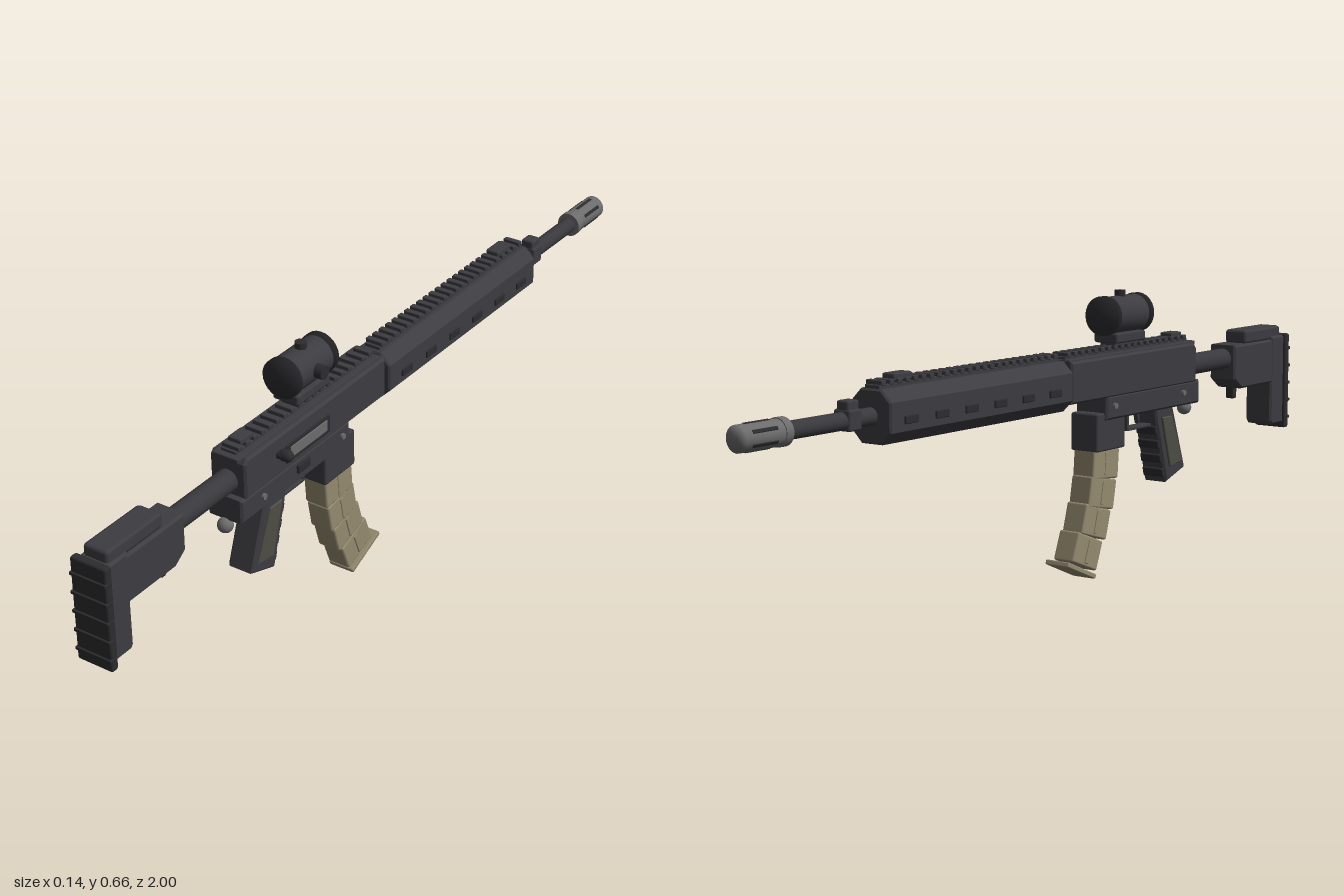
import * as THREE from 'three';
import { RoundedBoxGeometry } from 'three/addons/geometries/RoundedBoxGeometry.js';
import { mergeVertices } from 'three/addons/utils/BufferGeometryUtils.js';

const material = (name, color) => {
  const m = new THREE.MeshStandardMaterial({ color });
  m.name = name;
  return m;
};

export function createModel() {
  const body = material('charcoal polymer', 0x3c3c41);
  const dark = material('black rubber', 0x2c2c2f);
  const steel = material('dark steel', 0x39393d);
  const grey = material('bare grey metal', 0x6c6c6c);
  const tan = material('tan magazine', 0x958a70);
  const olive = material('olive grip panel', 0x4d4d45);

  const model = new THREE.Group();
  model.name = 'rifle';
  const axis = new THREE.Group();
  axis.name = 'rifleParts';
  axis.position.x = -0.012;
  model.add(axis);

  const add = (name, geometry, mat) => {
    const mesh = new THREE.Mesh(geometry, mat);
    mesh.name = name;
    axis.add(mesh);
    return mesh;
  };
  // Bevelled box from y and z ranges, centred on x
  const box = (name, mat, w, y0, y1, z0, z1, x = 0, r = 0.005) => {
    const h = y1 - y0, d = z1 - z0;
    const mesh = add(name, new RoundedBoxGeometry(w, h, d, 1, Math.min(r, w / 4, h / 4, d / 4)), mat);
    mesh.position.set(x, (y0 + y1) / 2, (z0 + z1) / 2);
    return mesh;
  };
  // Cylinder along z; soft ends share their normals with the wall
  const rod = (name, mat, r, y, z0, z1, soft = false, x = 0) => {
    let g = new THREE.CylinderGeometry(r, r, z1 - z0, 24).rotateX(Math.PI / 2);
    if (soft) {
      g.deleteAttribute('normal');
      g.deleteAttribute('uv');
      g = mergeVertices(g);
      g.computeVertexNormals();
    }
    const mesh = add(name, g, mat);
    mesh.position.set(x, y, (z0 + z1) / 2);
    return mesh;
  };
  // Cylinder along x
  const pin = (name, mat, r, y, z, x0, x1) => {
    const mesh = add(name, new THREE.CylinderGeometry(r, r, x1 - x0, 16).rotateZ(Math.PI / 2), mat);
    mesh.position.set((x0 + x1) / 2, y, z);
    return mesh;
  };
  const extrude = (points, depth, b) => {
    const shape = new THREE.Shape(points.map(p => new THREE.Vector2(p[0], p[1])));
    return new THREE.ExtrudeGeometry(shape, {
      depth: depth - 2 * b, bevelEnabled: b > 0, bevelSize: b, bevelThickness: b, bevelOffset: -b, bevelSegments: 1,
    }).translate(0, 0, b - depth / 2);
  };
  // Side profile given as [z, y], thickness along x
  const profile = (name, mat, points, w, b = 0.005, x = 0) => {
    const mesh = add(name, extrude(points, w, b).rotateY(-Math.PI / 2), mat);
    mesh.position.x = x;
    return mesh;
  };
  const rail = (name, z0, z1, y) => {
    box(name, body, 0.04, y - 0.004, y + 0.008, z0, z1, 0, 0.002);
    const n = Math.round((z1 - z0) / 0.026);
    const step = (z1 - z0) / n;
    for (let i = 0; i < n; i++) {
      const z = z0 + (i + 0.5) * step;
      box(name + 'Tooth', body, 0.044, y + 0.006, y + 0.017, z - 0.0075, z + 0.0075, 0, 0.002);
    }
  };

  // Muzzle device and barrel
  rod('muzzleDevice', grey, 0.028, 0.468, -1, -0.885, true);
  rod('muzzleRing', grey, 0.03, 0.468, -0.89, -0.87);
  for (let i = 0; i < 6; i++) {
    const a = i * Math.PI / 3;
    const slot = box('muzzleSlot', dark, 0.008, -0.003, 0.003, -0.98, -0.91);
    slot.position.set(Math.sin(a) * 0.0265, 0.468 + Math.cos(a) * 0.0265, -0.945);
    slot.rotation.z = -a;
  }
  rod('barrel', steel, 0.019, 0.468, -0.88, 0);
  box('gasBlock', body, 0.044, 0.447, 0.492, -0.70, -0.66);
  box('gasBlockTop', body, 0.032, 0.485, 0.51, -0.698, -0.662);

  // Octagonal handguard with side slots
  const c = 0.026, hw = 0.0535, b0 = 0.41, t0 = 0.525;
  const guard = add('handguard', extrude([
    [-hw + c, b0], [hw - c, b0], [hw, b0 + c], [hw, t0 - c],
    [hw - c, t0], [-hw + c, t0], [-hw, t0 - c], [-hw, b0 + c]], 0.635, 0.004), body);
  guard.position.z = -0.2925;
  for (const s of [-1, 1]) {
    for (let i = 0; i < 6; i++) {
      const z = -0.045 - i * 0.1;
      box('handguardSlot', dark, 0.008, 0.451, 0.468, z - 0.021, z + 0.021, s * 0.0535);
    }
  }
  rail('handguardRail', -0.605, 0.015, 0.525);
  box('frontSight', body, 0.034, 0.535, 0.552, -0.555, -0.495);

  // Receiver
  profile('upperReceiver', body, [[0.55, 0.425], [0.03, 0.425], [0.03, 0.522], [0.54, 0.522], [0.55, 0.51]], 0.092);
  box('receiverTop', body, 0.068, 0.515, 0.526, 0.035, 0.56, 0, 0.003);
  profile('lowerReceiver', body, [[0.565, 0.373], [0.17, 0.373], [0.17, 0.43], [0.565, 0.43]], 0.09);
  rail('receiverRail', 0.04, 0.545, 0.524);
  box('rearSight', body, 0.034, 0.535, 0.55, 0.48, 0.525);
  box('ejectionPortFrame', dark, 0.008, 0.443, 0.487, 0.25, 0.41, 0.045);
  box('ejectionPort', grey, 0.006, 0.452, 0.479, 0.262, 0.396, 0.048);
  box('magazineRelease', dark, 0.012, 0.397, 0.418, 0.325, 0.37, 0.045);
  for (const z of [0.49, 0.2]) pin('receiverPin', grey, 0.007, 0.405, z, -0.051, 0.051);

  // Charging handle
  pin('chargingHandle', dark, 0.009, 0.48, 0.435, 0.035, 0.066);
  const knob = add('chargingKnob', new THREE.CapsuleGeometry(0.0135, 0.008, 6, 16).rotateZ(Math.PI / 2), dark);
  knob.position.set(0.0625, 0.48, 0.43);

  // Magazine well and curved magazine
  box('magazineWell', body, 0.076, 0.3, 0.39, 0.14, 0.255);
  const segments = [[0.19, 0.268, 0.08], [0.177, 0.2, 0.19], [0.153, 0.135, 0.29], [0.119, 0.07, 0.37]];
  segments.forEach(([z, y, a], i) => {
    const seg = box('magazineSegment', tan, 0.06 - i * 0.001, -0.036, 0.036, -0.051, 0.051);
    seg.position.set(0, y, z);
    seg.rotation.x = a;
    for (const s of [-1, 1]) {
      const rib = box('magazineRib', tan, 0.006, -0.028, 0.028, -0.006, 0.006);
      rib.position.set(s * 0.0285, y, z);
      rib.rotation.x = a;
    }
  });
  const plate = box('magazineBase', tan, 0.066, -0.006, 0.006, -0.06, 0.06);
  plate.position.set(0, 0.03, 0.09);
  plate.rotation.x = 0.4;

  // Trigger and guard
  box('triggerGuardBottom', body, 0.028, 0.33, 0.338, 0.30, 0.405);
  box('triggerGuardFront', body, 0.028, 0.33, 0.38, 0.298, 0.306);
  profile('trigger', steel, [[0.37, 0.378], [0.355, 0.378], [0.352, 0.36], [0.357, 0.342], [0.363, 0.342], [0.361, 0.36]], 0.012, 0.001);

  // Pistol grip with side panels and front ridges
  profile('pistolGrip', body, [[0.465, 0.38], [0.39, 0.38], [0.395, 0.345], [0.44, 0.19], [0.522, 0.218]], 0.066);
  for (const s of [-1, 1]) {
    profile('gripPanel', olive, [[0.455, 0.352], [0.413, 0.352], [0.449, 0.228], [0.504, 0.237]], 0.008, 0.002, s * 0.034);
  }
  for (let i = 0; i < 4; i++) {
    const t = 0.15 + i * 0.23;
    const ridge = box('gripRidge', dark, 0.058, -0.011, 0.011, -0.006, 0.006);
    ridge.position.set(0, 0.345 - t * 0.155, 0.395 + t * 0.045);
    ridge.rotation.x = -0.28;
  }

  // Sling loop
  const ball = add('slingBall', new THREE.SphereGeometry(0.018, 20, 14), grey);
  ball.position.set(0, 0.358, 0.565);

  // Stock
  rod('bufferTube', steel, 0.026, 0.462, 0.53, 0.78);
  profile('stockBody', body, [[0.93, 0.385], [0.775, 0.385], [0.74, 0.41], [0.74, 0.497], [0.93, 0.497]], 0.074);
  profile('stockHeel', body, [[0.985, 0.275], [0.925, 0.275], [0.918, 0.285], [0.918, 0.505], [0.985, 0.505]], 0.076);
  box('cheekRest', body, 0.062, 0.495, 0.53, 0.80, 0.972, 0, 0.008);
  box('buttPad', dark, 0.09, 0.262, 0.508, 0.976, 0.996);
  for (const y of [0.29, 0.335, 0.38, 0.425, 0.47]) box('buttPadRib', dark, 0.092, y - 0.004, y + 0.004, 0.98, 1, 0, 0.002);
  box('stockLever', dark, 0.024, 0.357, 0.395, 0.775, 0.793);

  // Optic and its mount
  rod('opticTube', body, 0.044, 0.61, 0.215, 0.355, true);
  for (const z of [0.21, 0.343]) rod('opticRim', dark, 0.0465, 0.61, z, z + 0.017, true);
  const turret = add('topTurret', new THREE.CylinderGeometry(0.013, 0.013, 0.03, 20), dark);
  turret.position.set(0, 0.652, 0.285);
  pin('sideTurret', dark, 0.016, 0.61, 0.285, 0.035, 0.062);
  box('opticMountNeck', body, 0.044, 0.538, 0.552, 0.235, 0.335);
  box('opticMount', body, 0.066, 0.546, 0.57, 0.225, 0.345);
  return model;
}
